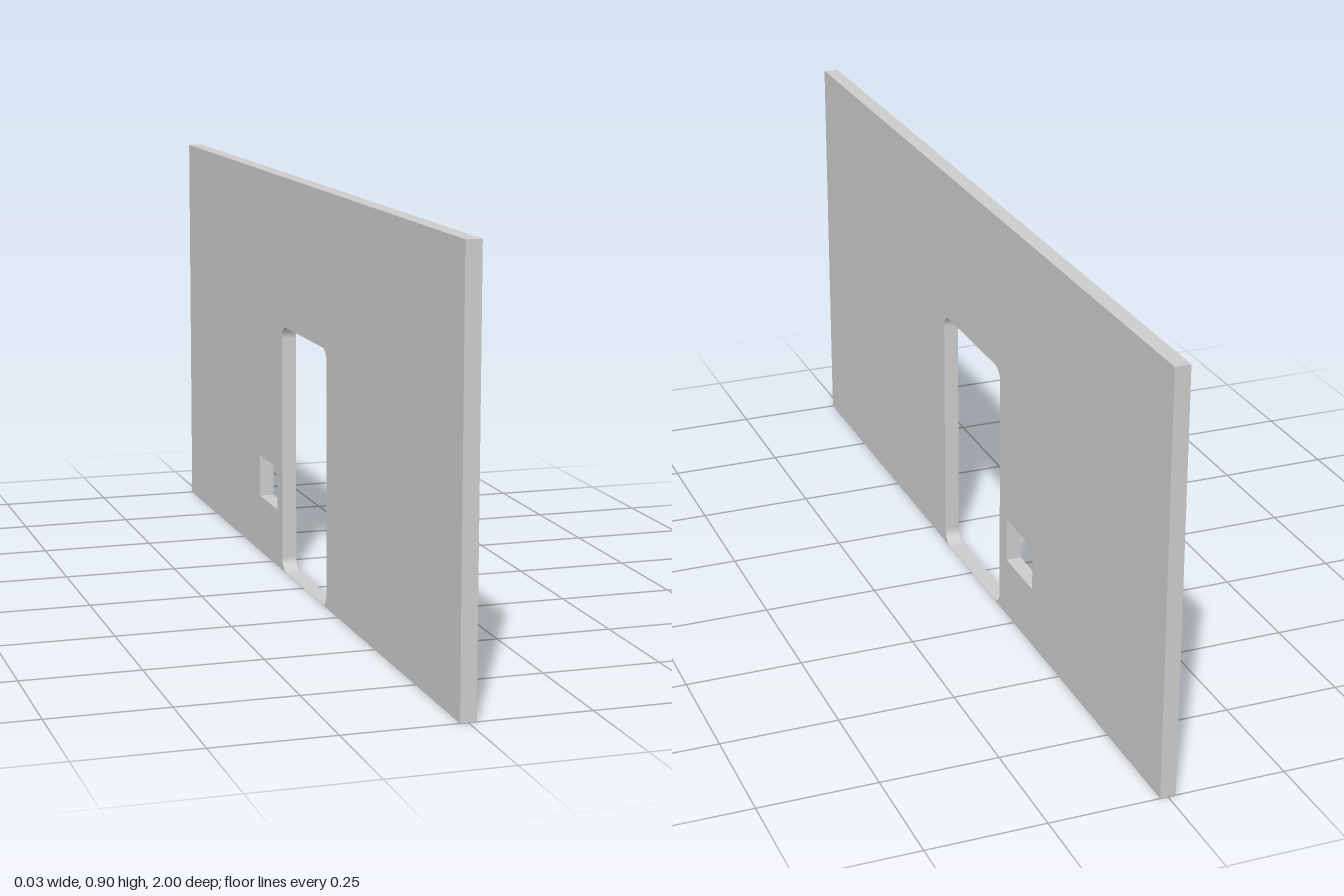
import * as THREE from 'three';

// Rectangle outline with optional rounded corners
function outline(path, x0, y0, x1, y1, r = 0) {
  if (r === 0) {
    path.moveTo(x0, y0).lineTo(x1, y0).lineTo(x1, y1).lineTo(x0, y1);
  } else {
    path.absarc(x1 - r, y0 + r, r, -Math.PI / 2, 0);
    path.absarc(x1 - r, y1 - r, r, 0, Math.PI / 2);
    path.absarc(x0 + r, y1 - r, r, Math.PI / 2, Math.PI);
    path.absarc(x0 + r, y0 + r, r, Math.PI, Math.PI * 1.5);
  }
  path.closePath();
  return path;
}

export function createModel() {
  const group = new THREE.Group();
  group.name = 'wallPanel';
  const thickness = 0.033;

  // Wall face, drawn with shape x running toward -z
  const face = outline(new THREE.Shape(), -1, 0, 1, 0.9);

  // Rounded doorway standing on a very thin sill
  const doorway = outline(new THREE.Path(), -0.17, 0.001, 0.167, 0.565, 0.03);
  // Small square-cornered window beside it
  const windowHole = outline(new THREE.Path(), 0.208, 0.133, 0.353, 0.23);
  face.holes.push(doorway, windowHole);

  const geometry = new THREE.ExtrudeGeometry(face, {
    depth: thickness, bevelEnabled: false, curveSegments: 8,
  });
  geometry.translate(0, 0, -thickness / 2);
  geometry.rotateY(Math.PI / 2);

  const wall = new THREE.Mesh(geometry, new THREE.MeshStandardMaterial({ color: 0xcccccc }));
  wall.name = 'wall';
  group.add(wall);
  return group;
}
